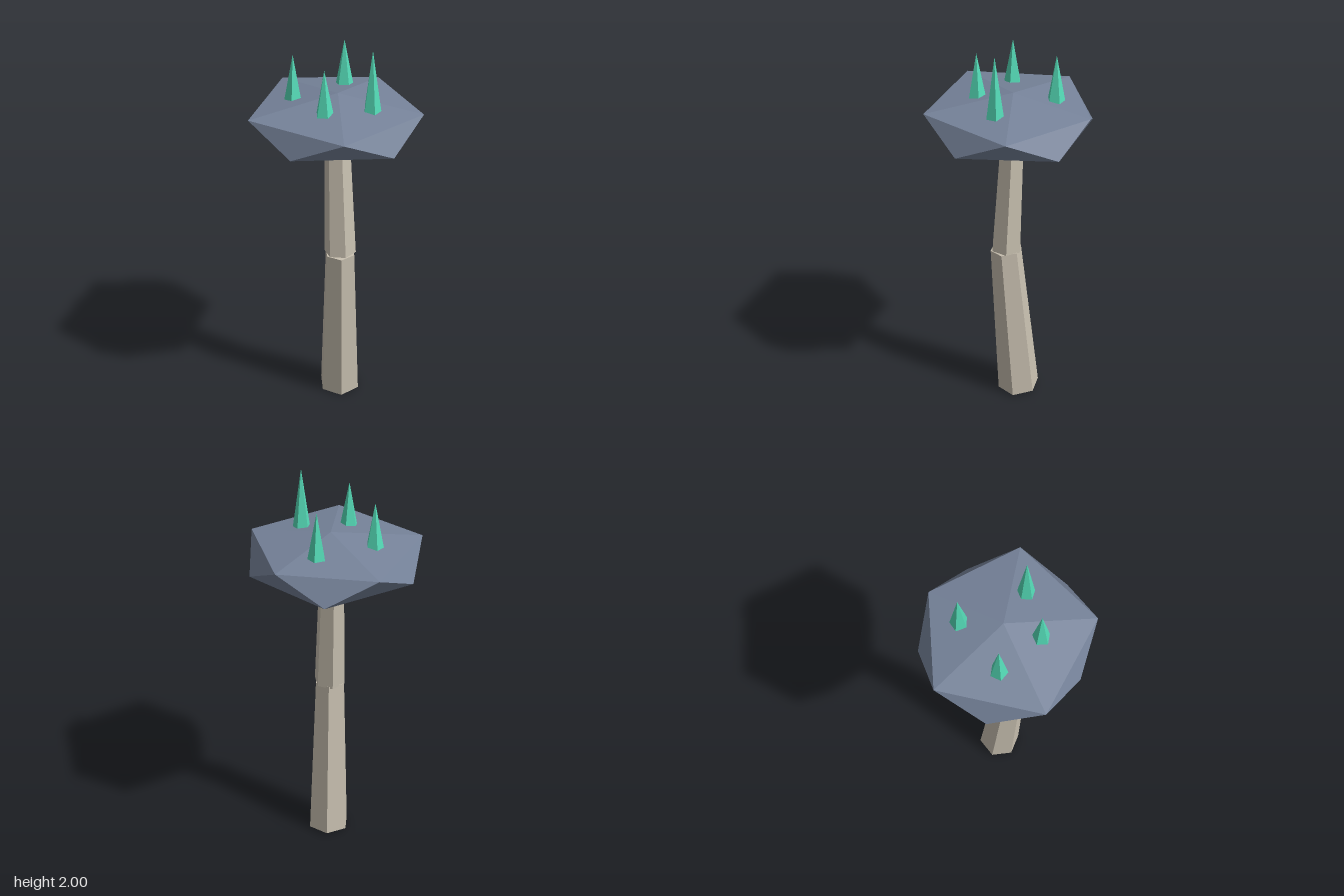
import * as THREE from 'three';

const mat = (color) => new THREE.MeshStandardMaterial({ color, flatShading: true });

// Tapered six-sided segment between two centres
function segment(name, from, to, rBottom, rTop, turn, material) {
  const a = new THREE.Vector3(...from), b = new THREE.Vector3(...to);
  const dir = b.clone().sub(a);
  const geo = new THREE.CylinderGeometry(rTop, rBottom, dir.length(), 6, 1, false, THREE.MathUtils.degToRad(turn));
  const mesh = new THREE.Mesh(geo, material);
  mesh.name = name;
  mesh.position.copy(a).add(b).multiplyScalar(0.5);
  mesh.quaternion.setFromUnitVectors(new THREE.Vector3(0, 1, 0), dir.normalize());
  return mesh;
}

// Squashed, slightly irregular twenty-sided rock: two poles and two staggered rings
function rockGeometry() {
  const upper = [[0.415, -0.02], [0.115, -0.39], [-0.345, -0.27], [-0.365, 0.24], [0.13, 0.39]];
  const lower = [[0.315, -0.255], [-0.13, -0.395], [-0.418, -0.02], [-0.13, 0.36], [0.325, 0.22]];
  const points = [
    0, 1.74, -0.02,
    ...upper.flatMap(([x, z]) => [x, 1.675, z]),
    ...lower.flatMap(([x, z]) => [x, 1.553, z]),
    0, 1.49, -0.02,
  ];
  const index = [];
  for (let i = 0; i < 5; i++) {
    const j = (i + 1) % 5;
    const u = 1 + i, u2 = 1 + j, l = 6 + i, l2 = 6 + j;
    index.push(0, u, u2, u, l, u2, u2, l, l2, 11, l2, l);
  }
  const indexed = new THREE.BufferGeometry();
  indexed.setAttribute('position', new THREE.Float32BufferAttribute(points, 3));
  indexed.setIndex(index);
  const geo = indexed.toNonIndexed();
  geo.computeVertexNormals();
  return geo;
}

export function createModel() {
  const group = new THREE.Group();
  group.name = 'crystalMushroom';

  // Bent stalk
  const stone = mat(0xc8c0b0);
  group.add(segment('lowerStalk', [0.002, 0.01, -0.05], [0.02, 0.885, 0.015], 0.11, 0.079, 19, stone));
  group.add(segment('upperStalk', [0.02, 0.885, 0.012], [-0.006, 1.6, -0.02], 0.08, 0.06, 34, stone));

  // Rock cap
  const cap = new THREE.Mesh(rockGeometry(), mat(0x76839a));
  cap.name = 'rockCap';
  group.add(cap);

  // Crystal spikes: x, z, base height, tip height, turn in degrees
  const crystal = mat(0x55dcb8);
  const spikes = new THREE.Group();
  spikes.name = 'crystals';
  [
    [-0.017, -0.22, 1.7, 1.93, -27],
    [-0.213, 0, 1.692, 1.92, 4],
    [0.181, 0.05, 1.695, 2, 31],
    [-0.021, 0.155, 1.7, 1.925, 36],
  ].forEach(([x, z, base, tip, turn], i) => {
    const spike = new THREE.Mesh(new THREE.ConeGeometry(0.044, tip - base, 5), crystal);
    spike.name = `crystal${i + 1}`;
    spike.position.set(x, (base + tip) / 2, z);
    spike.rotation.y = THREE.MathUtils.degToRad(turn);
    spikes.add(spike);
  });
  group.add(spikes);
  return group;
}
